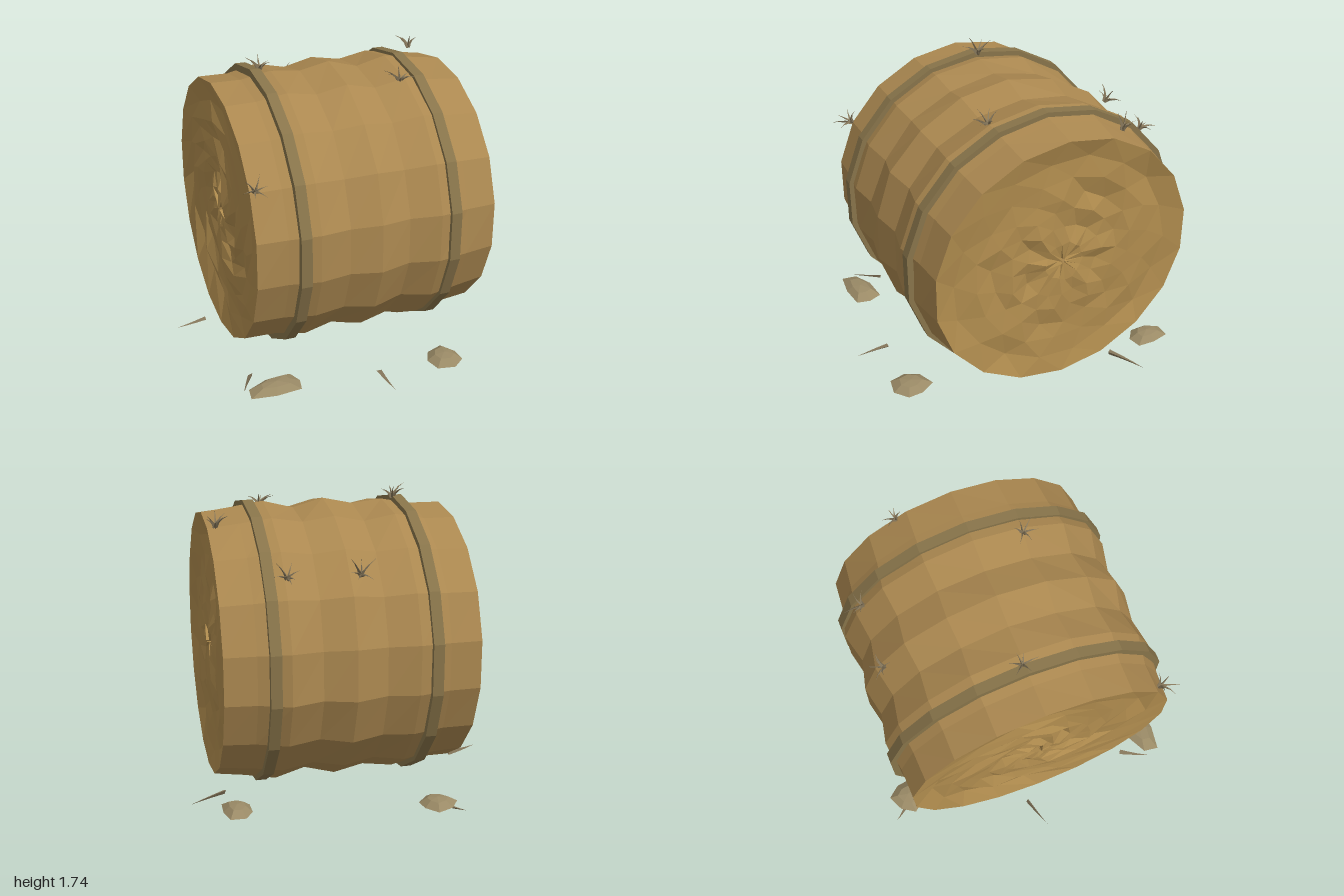
import * as THREE from 'three';
import { mergeGeometries } from 'three/addons/utils/BufferGeometryUtils.js';

const SIDES = 18, CY = 0.845, CZ = -0.045;

function seeded(seed) {
  let s = seed;
  return () => (s = (s * 16807) % 2147483647) / 2147483647;
}

const material = (color) => new THREE.MeshStandardMaterial({
  color, flatShading: true, roughness: 1, side: THREE.DoubleSide,
});

// Joins closed rings of points, in order, into a skin
function skin(rings) {
  const pos = rings.flat(2), index = [], n = rings[0].length;
  for (let i = 0; i < rings.length - 1; i++) {
    for (let j = 0; j < n; j++) {
      const a = i * n + j, b = i * n + (j + 1) % n;
      index.push(a, b, a + n, b, b + n, a + n);
    }
  }
  const g = new THREE.BufferGeometry();
  g.setAttribute('position', new THREE.Float32BufferAttribute(pos, 3));
  g.setIndex(index);
  g.computeVertexNormals();
  return g;
}

// One ring around the bale's axis; angle 0 is the top
function ring(x, r, twist = 0, dr = () => 0, dx = () => 0) {
  return Array.from({ length: SIDES }, (_, j) => {
    const a = (j / SIDES) * Math.PI * 2 + twist, q = r + dr();
    return [x + dx(), CY + Math.cos(a) * q * 0.985, CZ + Math.sin(a) * q * 1.02];
  });
}

// Wavy straw side
function sideGeometry() {
  const rnd = seeded(11);
  const radii = [0.795, 0.8, 0.83, 0.8, 0.838, 0.8, 0.838, 0.805, 0.785];
  return skin(radii.map((r, i) =>
    ring(-0.665 + i * 0.17875, r, 0, i % 8 ? () => (rnd() - 0.5) * 0.014 : undefined)));
}

// Rolled end: rings wobble inwards and swirl towards the centre
function endGeometry(x, rim, dir, seed) {
  const rnd = seeded(seed);
  const radii = [rim, 0.66, 0.54, 0.43, 0.33, 0.23, 0.12, 0.012];
  const rings = radii.map((r, i) => ring(x, r, i * 0.13,
    i && i < 7 ? () => (rnd() - 0.5) * 0.03 : undefined,
    i ? () => -dir * (0.008 + rnd() * (i % 2 ? 0.05 : 0.03)) : undefined));
  return skin(dir > 0 ? rings : rings.reverse());
}

// Flat binding strap with square edges
function bandGeometry(x) {
  const w = 0.031, out = 0.848, inn = 0.77;
  return skin([ring(x - w, inn), ring(x - w, out), ring(x + w, out), ring(x + w, inn)]);
}

// Tapered three-sided blade of straw along +y, bending towards +x
function bladeGeometry(length, width, bend) {
  const g = new THREE.ConeGeometry(width, length, 3, 3);
  g.translate(0, length / 2, 0);
  const p = g.attributes.position;
  for (let i = 0; i < p.count; i++) {
    const t = p.getY(i) / length;
    p.setX(i, p.getX(i) + bend * t * t);
    p.setY(i, p.getY(i) - Math.abs(bend) * 0.3 * t * t);
    p.setZ(i, p.getZ(i) * 0.6);
  }
  return g;
}

// Tuft of loose straw fanning from one point
function tuftGeometry(seed) {
  const rnd = seeded(seed), blades = [];
  for (let i = 0; i < 6; i++) {
    const g = bladeGeometry(0.08 + rnd() * 0.05, 0.014, 0.03 + rnd() * 0.04);
    g.rotateZ(-0.25 - rnd() * 0.3);
    g.rotateY((i / 6) * Math.PI * 2 + rnd() * 0.6);
    blades.push(g);
  }
  return mergeGeometries(blades);
}

// Flat clump of fallen straw
function clumpGeometry(length, depth, seed) {
  const rnd = seeded(seed);
  const wobble = Array.from({ length: 7 }, () => 0.8 + rnd() * 0.3);
  const loop = (y, s) => wobble.map((k, j) => {
    const a = (j / 7) * Math.PI * 2;
    return [Math.cos(a) * s * k * length / 2, y, -Math.sin(a) * s * k * depth / 2];
  });
  return skin([loop(-0.03, 0.02), loop(-0.028, 0.55), loop(-0.005, 1), loop(0.027, 0.55), loop(0.035, 0.02)]);
}

export function createModel() {
  const group = new THREE.Group();
  const straw = material(0xab8850), end = material(0xb08c4e);
  const strap = material(0x88744a), loose = material(0x85765a), fallen = material(0x9a8a66);
  const add = (name, geometry, mat) => {
    const mesh = new THREE.Mesh(geometry, mat);
    mesh.name = name;
    group.add(mesh);
    return mesh;
  };

  add('baleSide', sideGeometry(), straw);
  add('leftEnd', endGeometry(0.765, 0.785, 1, 5), end);
  add('rightEnd', endGeometry(-0.665, 0.795, -1, 29), end);
  for (const x of [-0.4, 0.494]) add('bindingStrap', bandGeometry(x), strap);

  // Tufts stand out from the side
  const up = new THREE.Vector3(0, 1, 0);
  const tufts = [
    [-0.37, 1.665, -0.06], [0.38, 1.6, 0.24], [0.73, 1.59, -0.39],
    [0.4, 1.36, -0.73], [0, 1.36, -0.74], [-0.64, 1.25, 0.67],
  ];
  tufts.forEach(([x, y, z], i) => {
    const tuft = add('strawTuft', tuftGeometry(101 + i * 37), loose);
    tuft.position.set(x, y, z);
    tuft.quaternion.setFromUnitVectors(up, new THREE.Vector3(0, y - CY + 0.3, z - CZ).normalize());
  });

  // Fallen clumps: x, z, length, depth, turn
  const clumps = [
    [0.46, 0.8, 0.25, 0.24, 0.4], [-0.56, 0.73, 0.36, 0.2, 0.1],
    [-0.42, -0.87, 0.24, 0.22, 0.5], [0.69, -0.7, 0.2, 0.26, 0.1],
  ];
  clumps.forEach(([x, z, l, d, turn], i) => {
    const clump = add('fallenClump', clumpGeometry(l, d, 7 + i * 53), fallen);
    clump.position.set(x, 0.055, z);
    clump.rotation.y = turn;
  });

  // Single stalks on the ground: base x, z to tip x, z
  const stalks = [
    [-0.74, -0.15, -0.94, -0.09], [0.05, 0.78, 0.05, 0.99], [-0.66, 0.55, -0.76, 0.71],
    [-0.47, -0.89, -0.56, -0.99], [0.72, -0.41, 0.93, -0.53],
  ];
  for (const [x0, z0, x1, z1] of stalks) {
    const dir = new THREE.Vector3(x1 - x0, 0, z1 - z0);
    const stalk = add('fallenStalk', bladeGeometry(dir.length(), 0.018, 0.012), loose);
    stalk.position.set(x0, 0.04, z0);
    stalk.quaternion.setFromUnitVectors(up, dir.normalize());
  }
  return group;
}
